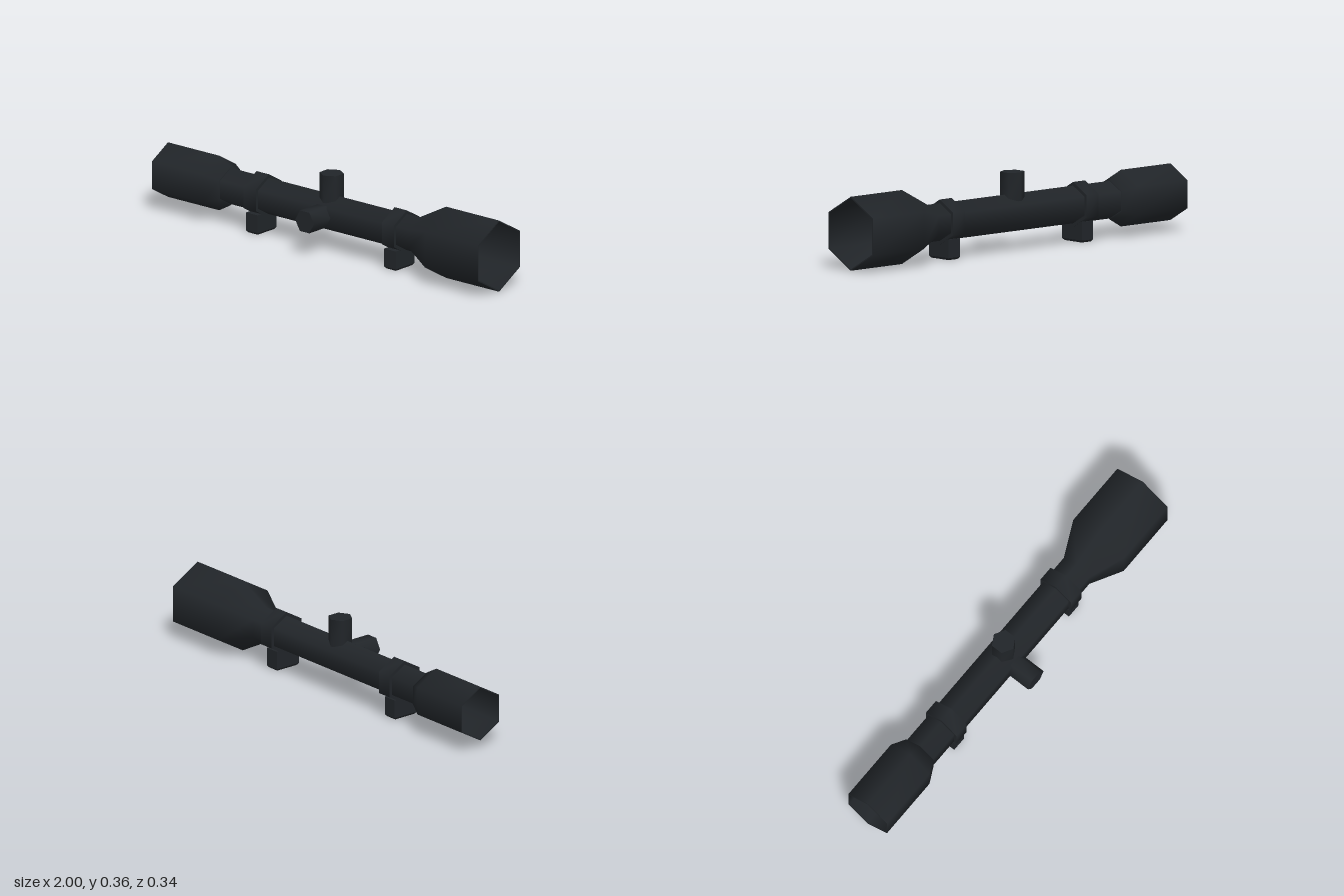
import * as THREE from 'three';
import { toCreasedNormals } from 'three/addons/utils/BufferGeometryUtils.js';

const AXIS_Y = 0.172, AXIS_Z = -0.02;

export function createModel() {
  const group = new THREE.Group();
  const material = new THREE.MeshStandardMaterial({ color: 0x212529 });

  const add = (name, geometry, x, y, z, crease = 1.2) => {
    const mesh = new THREE.Mesh(toCreasedNormals(geometry, crease), material);
    mesh.name = name;
    mesh.position.set(x, y, z);
    group.add(mesh);
    return mesh;
  };

  // Six-sided lathe along x, corners at top and bottom; profile is [x, radius]
  const hexLathe = (profile) =>
    new THREE.LatheGeometry(profile.map(([x, r]) => new THREE.Vector2(r, x)), 6, Math.PI / 2)
      .rotateZ(-Math.PI / 2);

  // Hollow tube: eyepiece, main tube and objective bell, then back along the bore
  add('scopeTube', hexLathe([
    [-1, 0.131], [-0.69, 0.131], [-0.62, 0.092], [-0.62, 0.087],
    [0.52, 0.087], [0.68, 0.171], [1, 0.171],
    [1, 0.165], [0.68, 0.165], [0.52, 0.076],
    [-0.62, 0.076], [-0.69, 0.125], [-1, 0.125], [-1, 0.131],
  ]), 0, AXIS_Y, AXIS_Z);

  // Mounting rings, each with a foot chamfered at the bottom
  for (const [side, x] of [['rear', -0.428], ['front', 0.406]]) {
    const h = 0.037;
    add(side + 'Ring', hexLathe([
      [-h, 0.08], [-h, 0.104], [h, 0.104], [h, 0.08],
    ]), x, AXIS_Y, AXIS_Z);

    const foot = new THREE.BoxGeometry(0.07, 0.096, 0.133, 1, 2, 1).translate(0, 0.048, 0);
    const p = foot.attributes.position;
    for (let i = 0; i < p.count; i++) {
      const y = p.getY(i);
      if (y < 0.01) {
        p.setX(i, p.getX(i) * 0.8);
        p.setZ(i, p.getZ(i) * 0.87);
      } else if (y < 0.09) p.setY(i, 0.01);
    }
    add(side + 'Foot', foot, x, 0, -0.011, 0.1);
  }

  // Adjustment turrets on the top and on the front side
  add('topTurret', new THREE.CylinderGeometry(0.057, 0.057, 0.132, 6), -0.011, 0.296, AXIS_Z);
  add('sideTurret',
    new THREE.CylinderGeometry(0.057, 0.057, 0.13, 6, 1, false, Math.PI / 2).rotateX(Math.PI / 2),
    -0.011, AXIS_Y, 0.105);

  return group;
}
